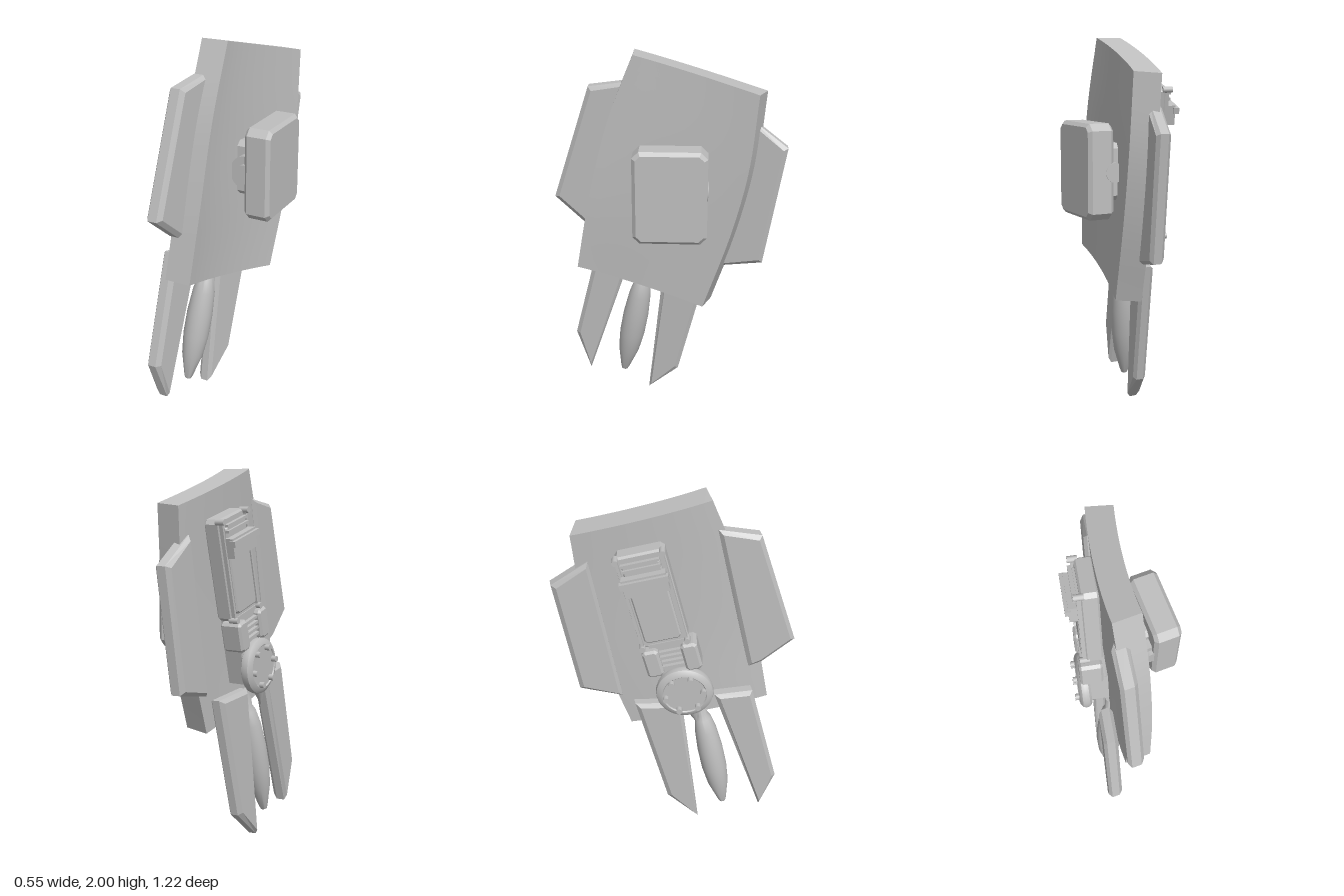
import * as THREE from 'three';
import { mergeGeometries, toCreasedNormals } from 'three/addons/utils/BufferGeometryUtils.js';

const grey = new THREE.MeshStandardMaterial({ color: 0xbebebe });
grey.name = 'light grey';

function add(parent, name, geometry, x = 0, y = 0, z = 0) {
  const mesh = new THREE.Mesh(geometry, grey);
  mesh.name = name;
  mesh.position.set(x, y, z);
  parent.add(mesh);
  return mesh;
}

// Smooth rectangular patch of f(u, v); its normal is df/du x df/dv
function patch(f, nu, nv) {
  const pos = [], idx = [];
  for (let j = 0; j <= nv; j++)
    for (let i = 0; i <= nu; i++) pos.push(...f(i / nu, j / nv));
  for (let j = 0; j < nv; j++)
    for (let i = 0; i < nu; i++) {
      const a = j * (nu + 1) + i, b = a + 1, c = a + nu + 1, d = c + 1;
      idx.push(a, b, d, a, d, c);
    }
  const g = new THREE.BufferGeometry();
  g.setAttribute('position', new THREE.Float32BufferAttribute(pos, 3));
  g.setIndex(idx);
  g.computeVertexNormals();
  return g;
}

// Thick curved plate swept between its front and back edge curves
function shieldGeometry() {
  const curve = (pts) => new THREE.CatmullRomCurve3(pts.map((p) => new THREE.Vector3(...p)));
  const front = curve([[0.04, 2, 0.17], [0.03, 1.64, 0.31], [0.015, 1.2, 0.42], [-0.01, 0.83, 0.49]]);
  const back = curve([[0.145, 1.835, -0.45], [0.147, 1.45, -0.41], [0.135, 1.1, -0.33], [0.11, 0.665, -0.19]]);
  const P = (s, t, w) => {
    const a = front.getPoint(s), b = back.getPoint(s);
    return [
      a.x + (b.x - a.x) * t ** 1.7 - w * (0.14 - 0.012 * t),
      a.y + (b.y - a.y) * t - w * 0.01 * t,
      a.z + (b.z - a.z) * t - w * 0.045 * t,
    ];
  };
  const n = 16;
  return mergeGeometries([
    patch((u, v) => P(u, v, 0), n, n),
    patch((u, v) => P(v, u, 1), n, n),
    patch((u, v) => P(0, u, v), n, 1),
    patch((u, v) => P(1, v, u), 1, n),
    patch((u, v) => P(v, 0, u), 1, n),
    patch((u, v) => P(u, 1, v), n, 1),
  ]);
}

// Chamfered slab: outline given as [z, y], thickness along x
function slab(outline, thick, bevel, inset = bevel) {
  const shape = new THREE.Shape(outline.map(([z, y]) => new THREE.Vector2(-z, y)));
  const g = new THREE.ExtrudeGeometry(shape, {
    depth: thick - 2 * bevel, bevelThickness: bevel, bevelSize: inset,
    bevelOffset: -inset, bevelSegments: 1,
  });
  g.translate(0, 0, bevel - thick / 2);
  g.rotateY(Math.PI / 2);
  return g;
}

// Slab slanted so that its middle is at x when z = z0
function fin(parent, name, outline, thick, x, z0, slope) {
  const g = slab(outline, thick, 0.018, 0.022);
  g.applyMatrix4(new THREE.Matrix4().set(
    1, 0, slope, x - slope * z0, 0, 1, 0, 0, 0, 0, 1, 0, 0, 0, 0, 1));
  g.computeVertexNormals();
  return add(parent, name, g);
}

// Rectangle outline with cut corners
function cutRect(w, h, c) {
  const a = w / 2, b = h / 2;
  return [[a, b - c], [a - c, b], [c - a, b], [-a, b - c],
    [-a, c - b], [c - a, -b], [a - c, -b], [a, c - b]].reverse();
}

function lathe(profile, sides = 32) {
  const g = new THREE.LatheGeometry(profile.map((p) => new THREE.Vector2(...p)), sides);
  return toCreasedNormals(g, 0.6);
}

export function createModel() {
  const model = new THREE.Group();
  model.name = 'armShield';
  add(model, 'shieldPlate', shieldGeometry());

  // Wings beside the plate and long blades below it
  fin(model, 'frontWing', [[0.41, 1.81], [0.61, 1.2], [0.45, 1.06], [0.38, 1.03], [0.2, 1.845]],
    0.085, -0.14, 0.61, -0.15);
  fin(model, 'backWing', [[-0.42, 1.685], [-0.28, 0.865], [-0.5, 0.91], [-0.605, 1.55]],
    0.08, 0.06, -0.6, -0.23);
  fin(model, 'frontBlade', [[0.385, 0.93], [0.54, 0.32], [0.46, 0.09], [0.19, 0.9]],
    0.08, -0.215, 0.5, -0.2);
  fin(model, 'backBlade', [[0.02, 0.85], [0.115, 0], [-0.055, 0.16], [-0.22, 0.83]],
    0.075, -0.15, 0.11, -0.27);

  // Pointed pod between the blades
  const pod = add(model, 'pod', lathe([[0, 0], [0.018, 0], [0.025, 0.02], [0.058, 0.15], [0.07, 0.27],
    [0.07, 0.4], [0.06, 0.53], [0.045, 0.61], [0.03, 0.64], [0.03, 0.75], [0, 0.75]]), -0.17, 0.1, 0.26);
  pod.quaternion.setFromUnitVectors(new THREE.Vector3(0, 1, 0),
    new THREE.Vector3(0.07, 0.68, -0.13).normalize());

  // Square pad on its hinge
  add(model, 'pad', slab(cutRect(0.375, 0.485, 0.035), 0.14, 0.018), 0.192, 1.333, -0.02);
  add(model, 'hingeBlock', slab(cutRect(0.27, 0.29, 0.025), 0.11, 0.015), 0.085, 1.33, -0.05);
  for (const [name, r, len] of [['hingeBarrel', 0.09, 0.32], ['hingePin', 0.05, 0.365]]) {
    const g = new THREE.CylinderGeometry(r, r, len, 28);
    g.rotateX(Math.PI / 2);
    add(model, name, g, 0.12, 1.33, -0.028);
  }

  // Tilted mechanism on the inner face; local -x points outward
  const mech = new THREE.Group();
  mech.name = 'mechanism';
  mech.position.set(-0.09, 1.52, -0.12);
  mech.rotation.set(-0.244, -0.2, -0.06);
  model.add(mech);
  const box = (name, dx, dy, dz, x, y, z) =>
    add(mech, name, new THREE.BoxGeometry(dx, dy, dz), x, y, z);

  // Panel with side rails, corner pins and raised clip
  add(mech, 'panelBase', slab(cutRect(0.25, 0.53, 0.02), 0.09, 0.01), -0.02, 0, 0);
  add(mech, 'panelFace', slab(cutRect(0.19, 0.46, 0.015), 0.03, 0.008), -0.07, 0, 0);
  for (const side of [-1, 1]) {
    box('panelRail', 0.03, 0.5, 0.014, -0.066, 0, side * 0.112);
    for (const end of [-1, 1]) {
      const pin = add(mech, 'cornerPin', new THREE.CylinderGeometry(0.016, 0.016, 0.05, 12),
        -0.07, end * 0.255, side * 0.115);
      pin.rotation.z = Math.PI / 2;
    }
  }
  for (const y of [0.2, 0.23]) box('panelRib', 0.02, 0.014, 0.19, -0.088, y, 0);
  box('clipBase', 0.045, 0.1, 0.22, -0.1, 0.12, 0);
  box('clipLip', 0.03, 0.03, 0.24, -0.125, 0.145, 0);

  // Bracket joining the panel and the disc
  box('bracketBack', 0.1, 0.2, 0.2, -0.02, -0.35, 0.015);
  for (const side of [-1, 1])
    add(mech, 'bracketCheek', slab(cutRect(0.085, 0.16, 0.015), 0.12, 0.012),
      -0.045, -0.35, 0.015 + side * 0.1);
  for (let i = 0; i < 4; i++)
    box('bracketRib', 0.025, 0.014, 0.12, -0.078, -0.3 - i * 0.03, 0.015);
  box('neck', 0.1, 0.2, 0.2, -0.01, -0.53, 0.02);

  // Round disc with six bolts and a small spike below
  const disc = new THREE.Group();
  disc.name = 'disc';
  disc.position.set(-0.055, -0.563, 0.03);
  disc.rotation.z = Math.PI / 2;
  mech.add(disc);
  add(disc, 'discBody', lathe([[0, 0], [0.13, 0], [0.146, 0.012], [0.15, 0.03], [0.146, 0.048],
    [0.13, 0.06], [0.115, 0.064], [0.11, 0.058], [0, 0.058]], 40));
  for (let i = 0; i < 6; i++) {
    const a = (i + 0.5) * Math.PI / 3;
    add(disc, 'bolt', new THREE.CylinderGeometry(0.016, 0.016, 0.04, 14),
      0.1 * Math.cos(a), 0.064, 0.1 * Math.sin(a));
  }
  const spike = add(mech, 'spike', new THREE.ConeGeometry(0.04, 0.12, 16), -0.06, -0.745, 0.04);
  spike.rotation.z = Math.PI;
  return model;
}
